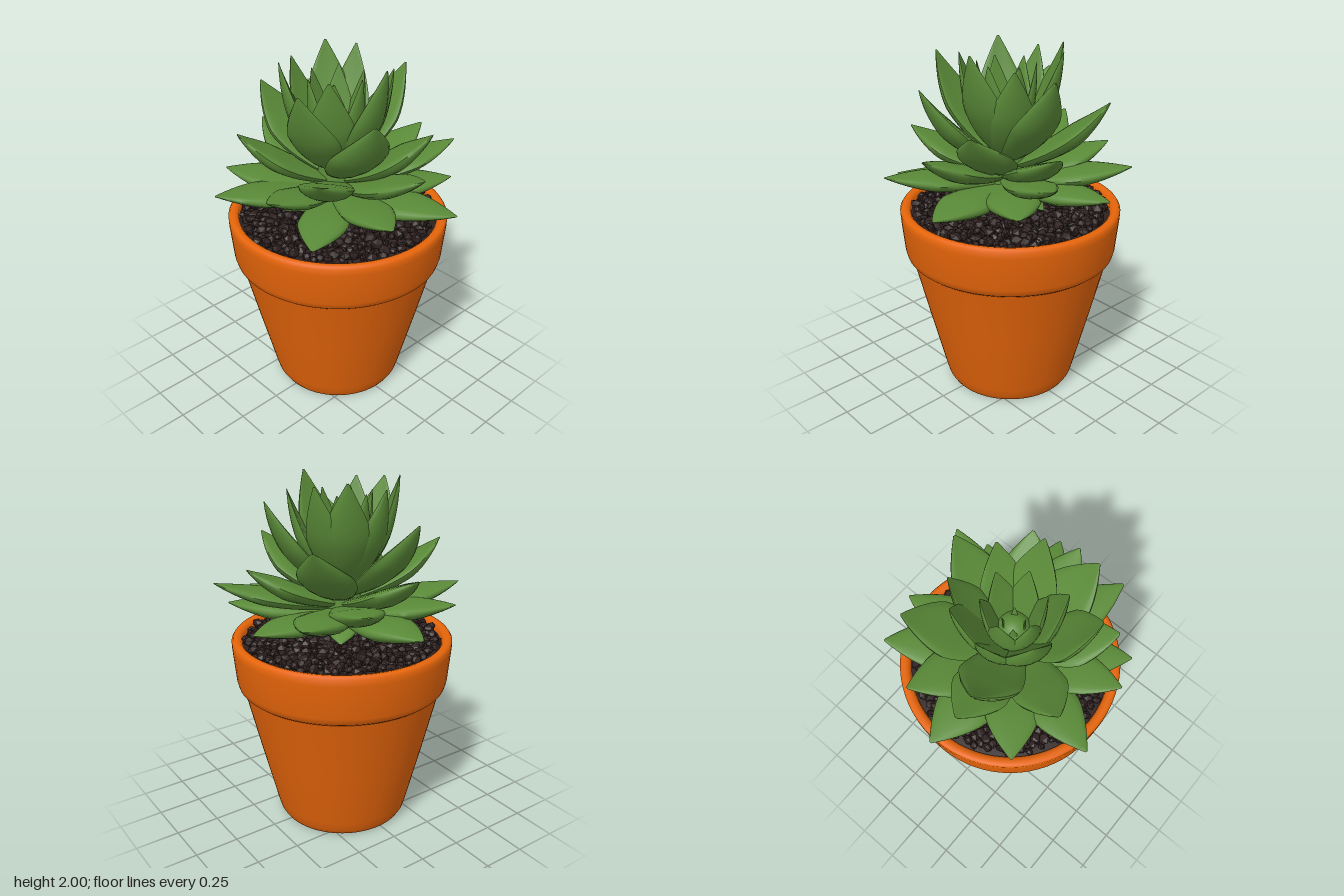
import * as THREE from 'three';
import { mergeGeometries, toCreasedNormals } from 'three/addons/utils/BufferGeometryUtils.js';

const terracotta = new THREE.MeshStandardMaterial({ name: 'terracotta', color: 0xe6650a });
const leafGreen = new THREE.MeshStandardMaterial({ name: 'leafGreen', color: 0x5a8a38 });
const darkSoil = new THREE.MeshStandardMaterial({ name: 'darkSoil', color: 0x2e2120 });

const POT_X = 0.02, POT_Z = -0.01;

let seed = 7;
function rand() {
  seed = (seed * 16807) % 2147483647;
  return seed / 2147483647;
}

function addMesh(parent, name, geometry, material) {
  const mesh = new THREE.Mesh(geometry, material);
  mesh.name = name;
  parent.add(mesh);
  return mesh;
}

// Leaf outline: half width along the length, 0 at the stem and 1 at the tip
function outline(t) {
  const grow = 0.42 + 0.58 * Math.sin(Math.min(t / 0.55, 1) * Math.PI / 2);
  const s = Math.max(0, (t - 0.55) / 0.45);
  return grow * (1 - Math.pow(s, 1.4)) + 0.04;
}

// Fleshy pointed leaf from the axis to its tip: low leaves are plump, high ones cupped
function leafGeometry(x, y, z, halfWidth) {
  const R = Math.hypot(x, z);
  const k = THREE.MathUtils.clamp((y - 1.2) / 0.8, 0, 1);
  const y0 = 1.21 + 0.2 * k;
  const curve = new THREE.QuadraticBezierCurve3(
    new THREE.Vector3(0.03, y0, 0),
    new THREE.Vector3(R * (0.56 + 0.18 * k), y0 + (y - y0) * 0.36, 0),
    new THREE.Vector3(R, y, 0));
  const rows = 16, sides = 16, positions = [], index = [];
  const top = 0.32 - 0.16 * k, cup = 0.05 + 0.1 * k;
  for (let i = 0; i <= rows; i++) {
    const t = i / rows, p = curve.getPoint(t), d = curve.getTangent(t);
    const w = halfWidth * outline(t);
    for (let j = 0; j < sides; j++) {
      const a = j / sides * Math.PI * 2, u = Math.cos(a), v = Math.sin(a);
      const n = w * (v * (v > 0 ? top : 0.38) + cup * u * u);
      positions.push(p.x - d.y * n, p.y + d.x * n, w * u);
      if (i < rows) {
        const b = i * sides + j, c = i * sides + (j + 1) % sides;
        index.push(b, b + sides, c, c, b + sides, c + sides);
      }
    }
  }
  const g = new THREE.BufferGeometry();
  g.setAttribute('position', new THREE.Float32BufferAttribute(positions, 3));
  g.setIndex(index);
  g.rotateY(Math.atan2(-z, x));
  return toCreasedNormals(g, 1.1);
}

// Leaf tips as x, y, z, half width
const lowerTips = [
  [0, 1.27, -0.68, 0.15], [-0.39, 1.33, -0.49, 0.14], [-0.66, 1.35, -0.22, 0.13],
  [-0.6, 1.43, 0.14, 0.12], [-0.52, 1.23, 0.38, 0.13], [-0.24, 1.35, 0.65, 0.13],
  [0.22, 1.26, 0.68, 0.14], [0.52, 1.28, 0.39, 0.14], [0.65, 1.44, 0.29, 0.12],
  [0.65, 1.27, -0.13, 0.13], [0.54, 1.36, -0.43, 0.14], [0.25, 1.41, -0.56, 0.14],
];
const middleTips = [
  [0.04, 1.5, 0.6, 0.14], [-0.08, 1.53, -0.54, 0.15], [-0.48, 1.64, -0.24, 0.14],
  [0.53, 1.53, 0.14, 0.14], [-0.43, 1.53, 0.33, 0.14], [0.43, 1.71, -0.35, 0.15],
  [0.25, 1.64, 0.46, 0.15], [-0.17, 1.8, 0.45, 0.16], [-0.14, 1.79, -0.46, 0.16],
  [0.44, 1.89, 0.08, 0.14], [-0.4, 1.93, 0.16, 0.14],
];
const upperTips = [
  [0.16, 2, -0.26, 0.13], [0.28, 1.98, -0.14, 0.11], [-0.25, 1.99, -0.16, 0.13],
  [0.06, 1.99, 0.3, 0.13], [-0.06, 1.95, -0.29, 0.11], [0.25, 1.92, 0.17, 0.12],
  [-0.2, 1.95, 0.16, 0.12],
];

function createPot() {
  const pot = new THREE.Group();
  pot.name = 'pot';
  pot.position.set(POT_X, 0, POT_Z);
  const lathe = (pts) => toCreasedNormals(
    new THREE.LatheGeometry(pts.map(([r, y]) => new THREE.Vector2(r, y)), 72), 0.9);
  // Tapered body with a softly rounded foot
  addMesh(pot, 'potBody', lathe([
    [0, 0.01], [0.34, 0.005], [0.365, 0.01], [0.38, 0.035], [0.395, 0.09],
    [0.484, 0.46], [0.558, 0.78], [0.572, 0.835],
  ]), terracotta);
  // Heavy collar folding over to the inside
  addMesh(pot, 'potRim', lathe([
    [0.555, 0.822], [0.58, 0.824], [0.594, 0.836], [0.603, 0.87], [0.62, 1.06],
    [0.621, 1.095], [0.612, 1.109], [0.595, 1.113], [0.575, 1.108],
    [0.563, 1.094], [0.556, 1.04],
  ]), terracotta);
  return pot;
}

function createSoil() {
  const soil = new THREE.Group();
  soil.name = 'soil';
  soil.position.set(POT_X, 0, POT_Z);
  const height = (r) => 1.075 + 0.06 * Math.max(0, 1 - r / 0.54);
  const bed = [[0.56, 1.07], [0.5, height(0.5)], [0.25, height(0.25)], [0, height(0)]];
  addMesh(soil, 'soilBed', new THREE.LatheGeometry(bed.map(([r, y]) => new THREE.Vector2(r, y)), 48), darkSoil);
  // Loose grit scattered evenly in a spiral
  const stones = [], count = 560;
  for (let i = 0; i < count; i++) {
    const r = 0.54 * Math.sqrt((i + 0.5) / count), a = i * 2.39996;
    const g = new THREE.IcosahedronGeometry(0.02 + 0.016 * rand(), 0);
    g.scale(1.1, 0.75, 0.85 + 0.4 * rand());
    g.rotateX(rand() * 2);
    g.rotateY(rand() * 6.28);
    g.translate(r * Math.cos(a), height(r) + 0.03 * rand(), r * Math.sin(a));
    stones.push(g);
  }
  addMesh(soil, 'soilGrit', mergeGeometries(stones), darkSoil);
  return soil;
}

function createPlant() {
  const plant = new THREE.Group();
  plant.name = 'succulent';
  // Short stem hidden between the leaves, with a rounded top
  const stem = addMesh(plant, 'stem', new THREE.CylinderGeometry(0.09, 0.15, 0.44, 20), leafGreen);
  stem.position.y = 1.3;
  const crown = addMesh(plant, 'stemCrown', new THREE.SphereGeometry(0.09, 20, 12), leafGreen);
  crown.position.set(0.01, 1.53, 0.01);

  const rings = { lowerLeaf: lowerTips, middleLeaf: middleTips, upperLeaf: upperTips };
  for (const [name, tips] of Object.entries(rings)) {
    for (const tip of tips) addMesh(plant, name, leafGeometry(...tip), leafGreen);
  }
  // Small rings: drooping leaves at the foot, then the open heart and its bud
  // name, count, tip radius, tip height, half width
  [
    ['footLeaf', 7, 0.3, 1.15, 0.08],
    ['heartLeaf', 6, 0.16, 1.91, 0.09],
    ['budLeaf', 4, 0.06, 1.68, 0.035],
  ].forEach(([name, n, r, y, w], k) => {
    for (let i = 0; i < n; i++) {
      const a = (i + 0.3 * k) / n * Math.PI * 2;
      addMesh(plant, name, leafGeometry(r * Math.cos(a), y, r * Math.sin(a), w), leafGreen);
    }
  });
  return plant;
}

export function createModel() {
  const model = new THREE.Group();
  model.name = 'pottedSucculent';
  model.add(createPot(), createSoil(), createPlant());
  return model;
}
